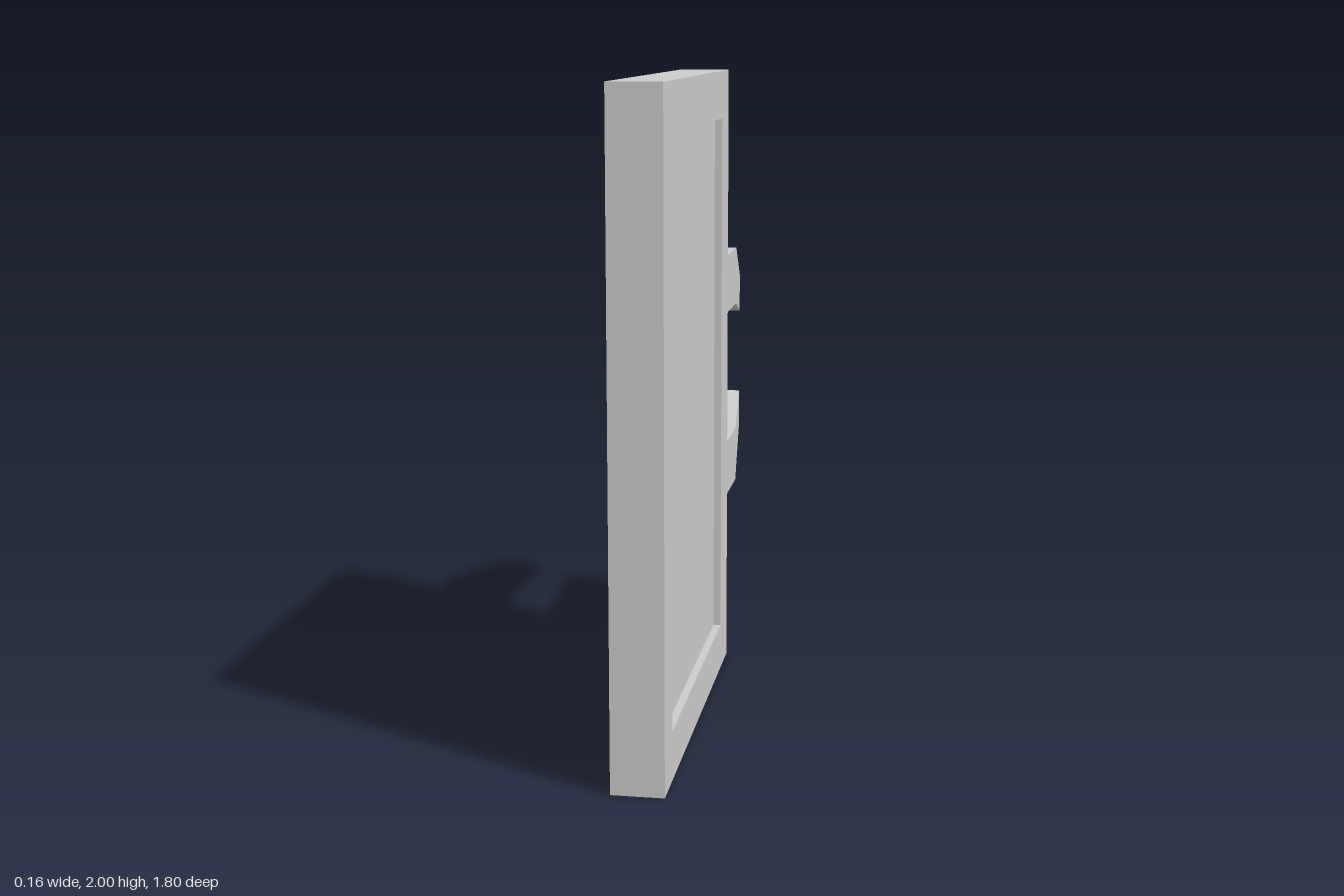
import * as THREE from 'three';
import { toCreasedNormals } from 'three/addons/utils/BufferGeometryUtils.js';

const HALF = 0.079; // half thickness of the slab

// Rectangle as a path in (-z, y)
function rect(path, u0, u1, y0, y1) {
  path.moveTo(u0, y0);
  path.lineTo(u1, y0);
  path.lineTo(u1, y1);
  path.lineTo(u0, y1);
  path.closePath();
  return path;
}

// Tapered bar through three sections, from the root to the tip
function armGeometry(sections) {
  const geo = new THREE.BoxGeometry(2, 1, 2, 1, 1, 2);
  const p = geo.attributes.position;
  for (let i = 0; i < p.count; i++) {
    const s = sections[1 - Math.round(p.getZ(i))];
    p.setXYZ(i, p.getX(i) * s.half, p.getY(i) > 0 ? s.top : s.bottom, s.z);
  }
  return toCreasedNormals(geo, 0.7);
}

export function createModel() {
  const group = new THREE.Group();
  const material = new THREE.MeshStandardMaterial({ color: 0xcccccc });
  const add = (name, geo) => {
    const mesh = new THREE.Mesh(geo, material);
    mesh.name = name;
    group.add(mesh);
    return mesh;
  };

  // Frame with a rectangular opening, extruded across x
  const outline = rect(new THREE.Shape(), -0.9, 0.38, 0, 2);
  outline.holes.push(rect(new THREE.Path(), -0.77, 0.23, 0.15, 1.85));
  const frame = new THREE.ExtrudeGeometry(outline, { depth: 2 * HALF, bevelEnabled: false });
  frame.translate(0, 0, -HALF).rotateY(Math.PI / 2);
  add('frame', frame);

  // Inset panel, set deeper on the +x side
  const back = -HALF + 0.01, front = HALF - 0.024;
  add('panel', new THREE.BoxGeometry(front - back, 1.7, 1))
    .position.set((front + back) / 2, 1, 0.27);

  // Two prongs converging behind the slab
  const prong = (name, heights) => add(name, armGeometry(
    [[-0.38, HALF], [-0.595, HALF], [-0.9, 0.052]].map(([z, half], i) =>
      ({ z, half, bottom: heights[i][0], top: heights[i][1] }))));
  prong('upperProng', [[1.197, 1.39], [1.197, 1.39], [1.125, 1.255]]);
  prong('lowerProng', [[0.57, 0.755], [0.57, 0.755], [0.708, 0.83]]);

  return group;
}
